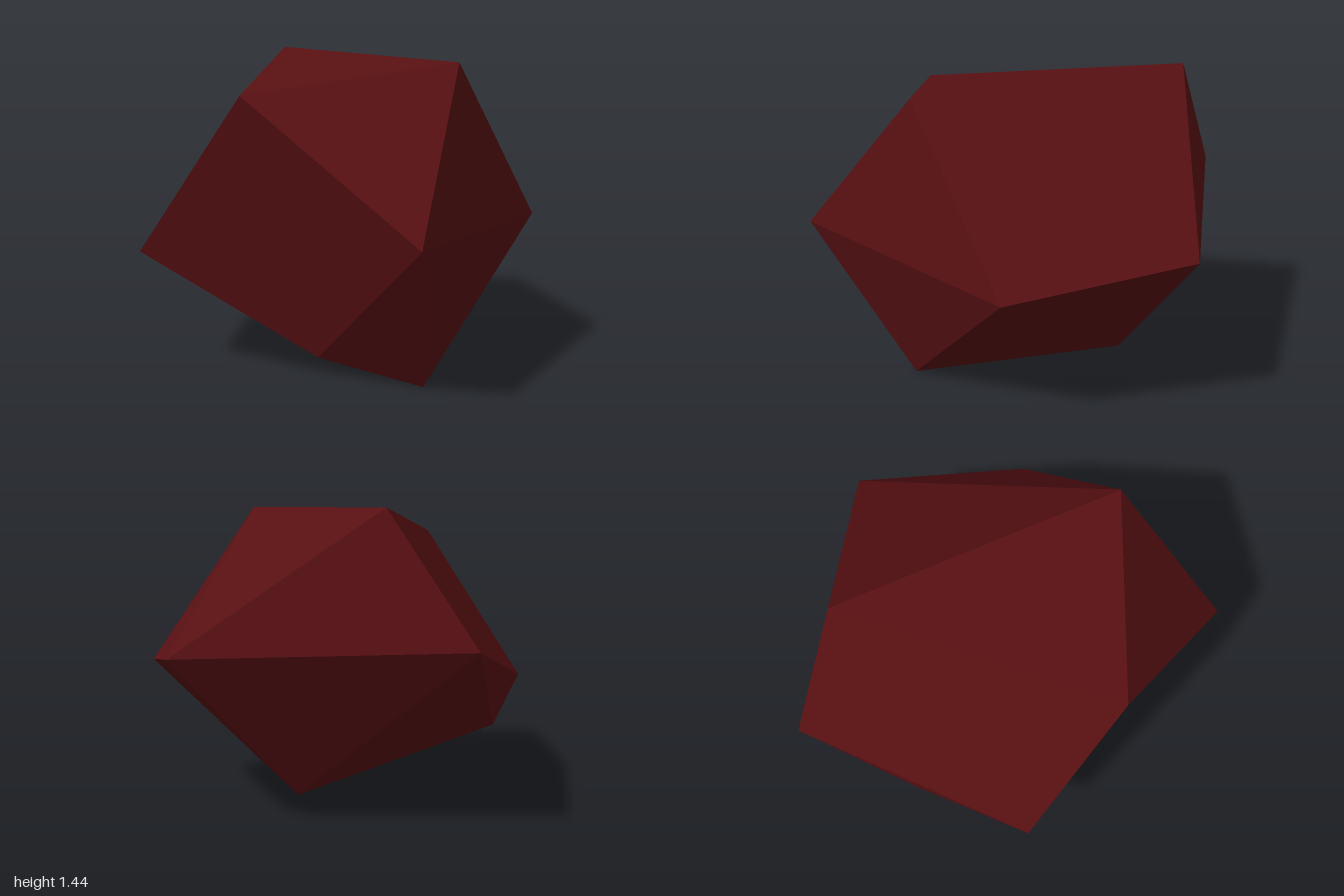
import * as THREE from 'three';

// A rough rock: a distorted icosahedron made of two poles and two rings of five.
const crown = [-0.04, 1.42, 0.72];
const base = [-0.44, 0.43, -0.67];
const upperRing = [
  [0.6, 0.67, 0.68], [0.95, 0.8, -0.09], [0.19, 1.44, -0.63],
  [-0.82, 1.295, 0.2], [-0.6, 0.735, 1.0],
];
const lowerRing = [
  [0.32, 0.11, -0.17], [-0.01, 0.85, -1.0], [-0.95, 0.57, -0.36],
  [-0.43, 0.09, 0.25], [-0.2, 0.0, 0.68],
];

function rockGeometry() {
  const positions = [];
  const face = (...corners) => corners.forEach((c) => positions.push(...c));
  for (let i = 0; i < 5; i++) {
    const j = (i + 1) % 5;
    face(crown, upperRing[i], upperRing[j]);           // cap
    face(upperRing[i], lowerRing[i], upperRing[j]);    // belt, pointing down
    face(lowerRing[i], lowerRing[j], upperRing[j]);    // belt, pointing up
    face(base, lowerRing[j], lowerRing[i]);            // underside
  }
  const geometry = new THREE.BufferGeometry();
  geometry.setAttribute('position', new THREE.Float32BufferAttribute(positions, 3));
  geometry.computeVertexNormals(); // unshared corners give flat facets
  return geometry;
}

export function createModel() {
  const darkRed = new THREE.MeshStandardMaterial({ color: 0x581012, flatShading: true });
  darkRed.name = 'darkRed';
  const rock = new THREE.Mesh(rockGeometry(), darkRed);
  rock.name = 'rock';
  const model = new THREE.Group();
  model.name = 'facetedRock';
  model.add(rock);
  return model;
}
